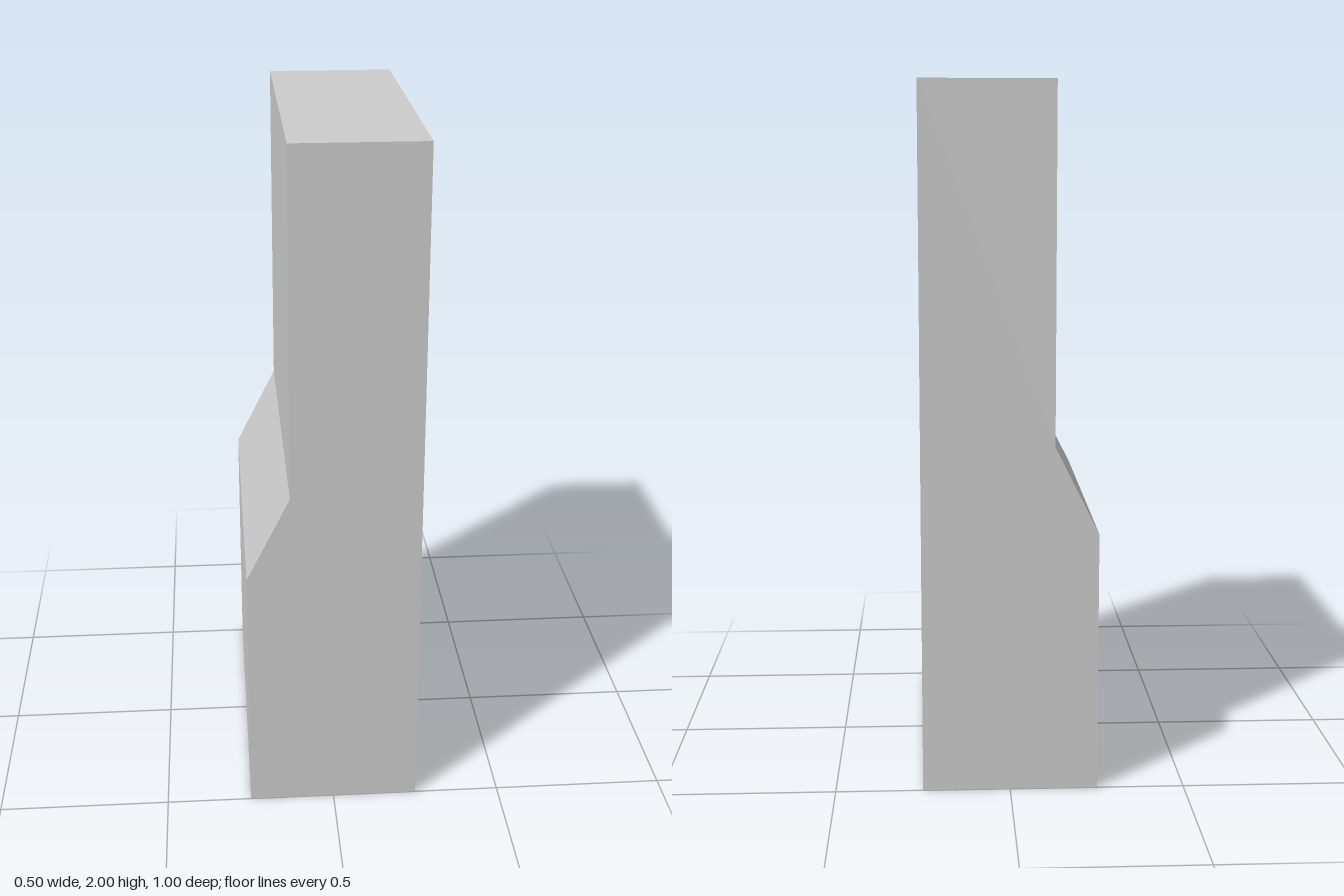
import * as THREE from 'three';

const DEPTH = 1;

export function createModel() {
  const group = new THREE.Group();
  group.name = 'steppedBarrier';

  // Side profile: thick base, sloped shoulder, thinner upper wall
  const profile = new THREE.Shape([
    [-0.25, 0], [0.25, 0], [0.25, 2], [-0.125, 2], [-0.125, 1], [-0.25, 0.75],
  ].map(([x, y]) => new THREE.Vector2(x, y)));

  const geometry = new THREE.ExtrudeGeometry(profile, { depth: DEPTH, bevelEnabled: false });
  geometry.translate(0, 0, -DEPTH / 2);

  const wall = new THREE.Mesh(
    geometry,
    new THREE.MeshStandardMaterial({ color: 0xcccccc, flatShading: true }),
  );
  wall.name = 'wall';
  group.add(wall);
  return group;
}
